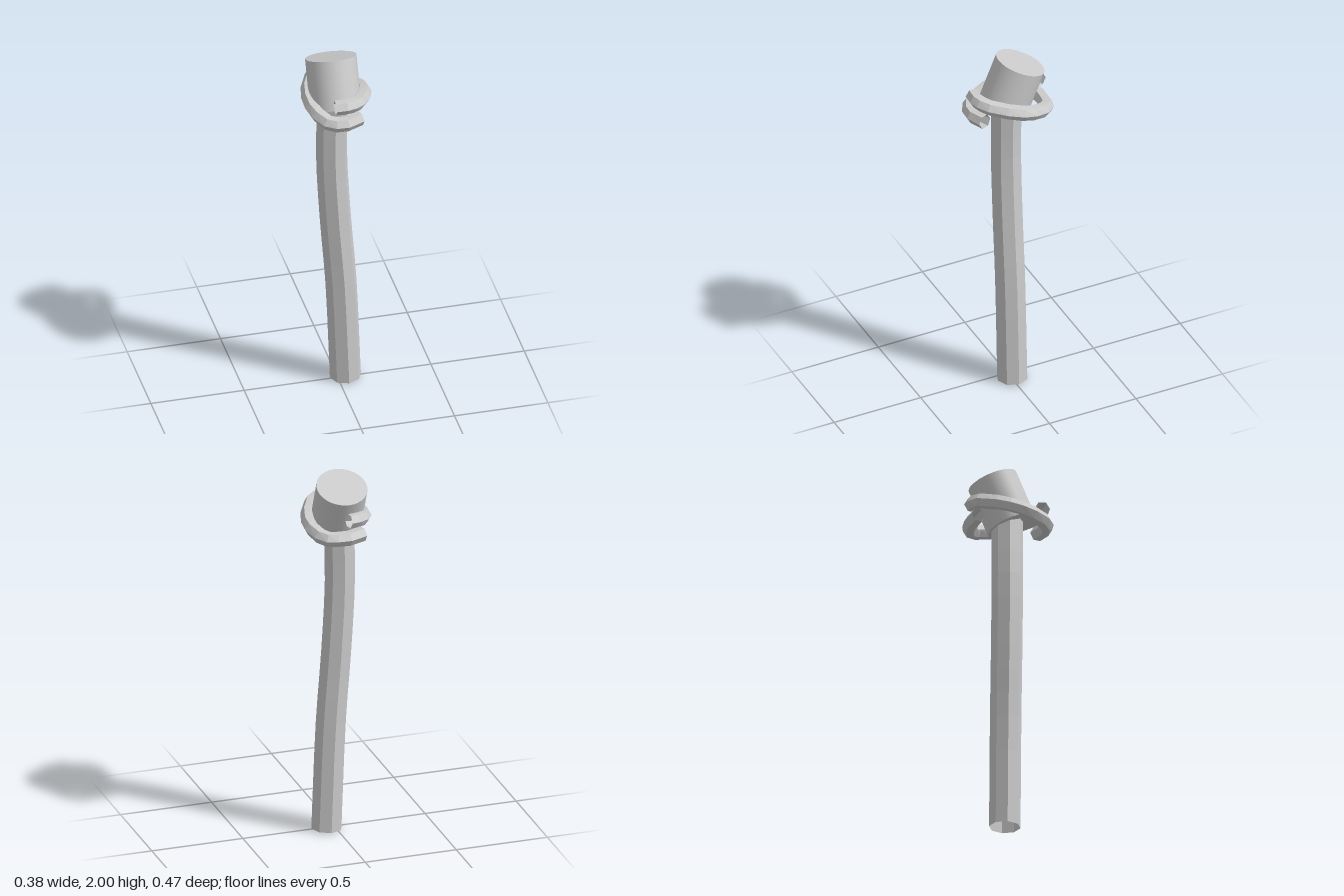
import * as THREE from 'three';

const facetedMaterial = new THREE.MeshStandardMaterial({
  color: 0xcccccc, flatShading: true, side: THREE.DoubleSide,
});
const smoothMaterial = new THREE.MeshStandardMaterial({ color: 0xcccccc });

// Open faceted tube along a path; ref fixes the roll of the cross-section.
function sweep(name, path, radius, sides, ref) {
  const positions = [], index = [];
  path.forEach((p, i) => {
    const before = path[Math.max(i - 1, 0)];
    const after = path[Math.min(i + 1, path.length - 1)];
    const t = after.clone().sub(before).normalize();
    const s = t.clone().cross(ref).normalize();
    const u = s.clone().cross(t);
    for (let j = 0; j < sides; j++) {
      const a = (j / sides) * Math.PI * 2;
      const v = p.clone()
        .addScaledVector(s, radius * Math.cos(a))
        .addScaledVector(u, radius * Math.sin(a));
      positions.push(v.x, v.y, v.z);
      if (i === path.length - 1) continue;
      const k = (j + 1) % sides;
      const q = i * sides, r = q + sides;
      index.push(q + j, r + j, q + k, q + k, r + j, r + k);
    }
  });
  const geometry = new THREE.BufferGeometry();
  geometry.setAttribute('position', new THREE.Float32BufferAttribute(positions, 3));
  geometry.setIndex(index);
  geometry.computeVertexNormals();
  const mesh = new THREE.Mesh(geometry, facetedMaterial);
  mesh.name = name;
  return mesh;
}

// Half coil lying in a plane that slopes along z.
function coil(name, plan, slope) {
  const path = plan.map(([x, z]) => new THREE.Vector3(x, 1.755 + slope * z, z));
  return sweep(name, path, 0.04, 6, new THREE.Vector3(0, 1, 0));
}

export function createModel() {
  const group = new THREE.Group();
  group.name = 'post';

  // Gently bent octagonal stem, open at the bottom
  const stemCurve = new THREE.CatmullRomCurve3(
    [[0.044, 0.003], [0.02, 0.6], [-0.01, 1.0], [-0.03, 1.4], [-0.022, 1.78]]
      .map(([x, y]) => new THREE.Vector3(x, y, -0.008)));
  group.add(sweep('stem', stemCurve.getPoints(12), 0.083, 8, new THREE.Vector3(0, 0, 1)));

  // Head cylinder leaning back
  const head = new THREE.Mesh(new THREE.CylinderGeometry(0.134, 0.134, 0.265, 32), smoothMaterial);
  head.name = 'head';
  head.position.set(-0.015, 1.827, -0.033);
  head.rotation.x = -Math.PI / 8;
  group.add(head);

  // Two overlapping half coils around the head
  group.add(coil('leftCoil', [
    [-0.055, 0.172], [0, 0.175], [0.035, 0.165], [0.075, 0.137], [0.123, 0.055], [0.146, -0.02],
    [0.147, -0.078], [0.125, -0.146], [0.092, -0.182], [0.045, -0.192], [-0.015, -0.195], [-0.1, -0.172],
  ], 0.25));
  group.add(coil('rightCoil', [
    [-0.015, -0.195], [-0.055, -0.187], [-0.095, -0.163], [-0.137, -0.08], [-0.15, -0.015],
    [-0.148, 0.05], [-0.13, 0.11], [-0.093, 0.17], [-0.05, 0.193], [0, 0.195], [0.08, 0.168],
  ], -0.25));

  return group;
}
